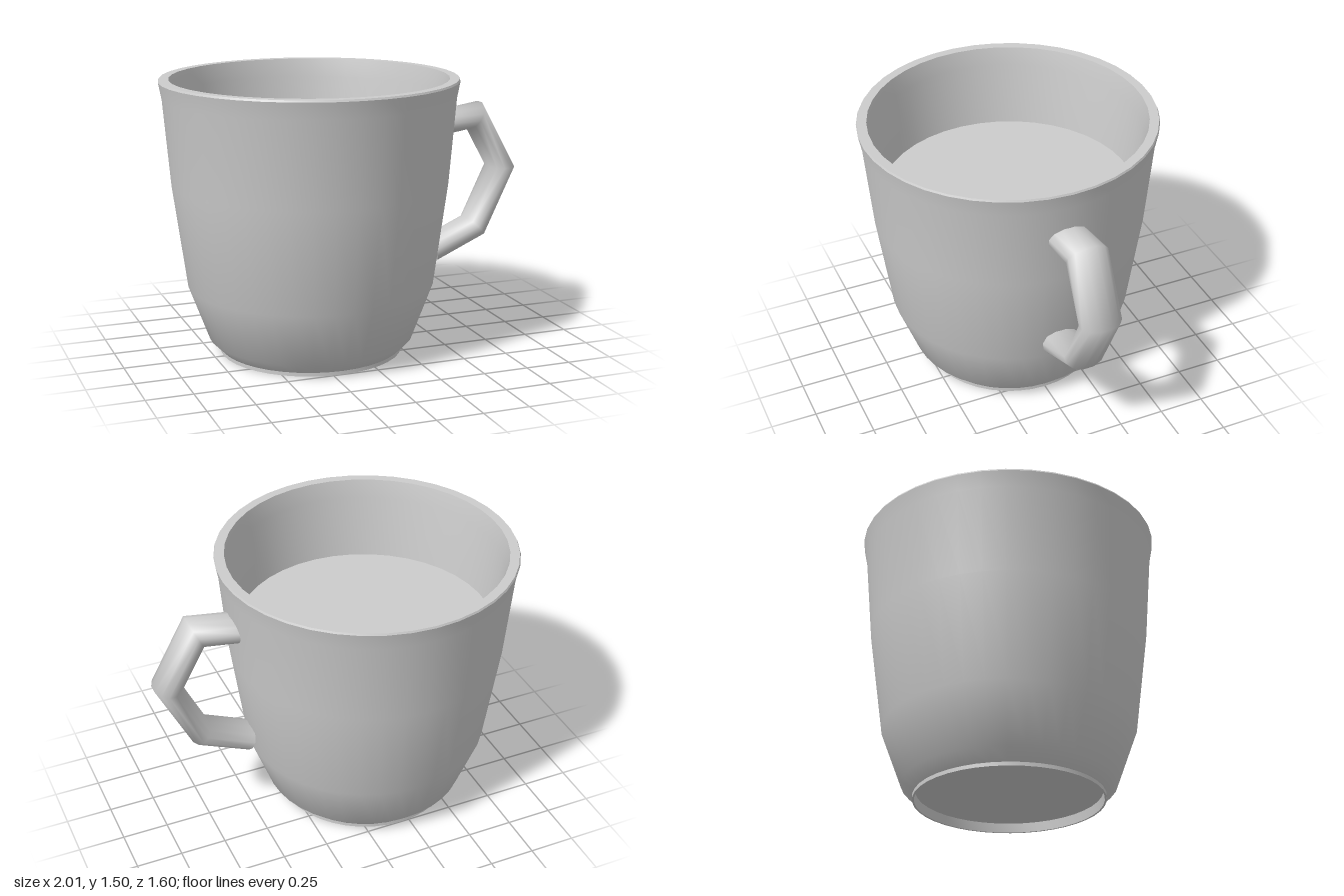
import * as THREE from 'three';
import { toCreasedNormals } from 'three/addons/utils/BufferGeometryUtils.js';

const CUP_X = -0.2;

// Sweeps an oval section along a flat path in the xy plane, with mitred bends and closed ends.
function sweepOval(path, halfThick, halfWide, sides) {
  const pts = path.map(([x, y]) => new THREE.Vector2(x, y));
  const last = pts.length - 1;
  const pos = [], index = [];
  const normalOf = (i) => {
    const t = pts[i + 1].clone().sub(pts[i]).normalize();
    return new THREE.Vector2(-t.y, t.x);
  };
  const addRing = (i) => {
    const n0 = normalOf(Math.max(i - 1, 0));
    const n = n0.clone().add(normalOf(Math.min(i, last - 1))).normalize();
    const reach = halfThick / n.dot(n0);
    const start = pos.length / 3;
    for (let j = 0; j < sides; j++) {
      const a = ((j + 0.5) / sides) * Math.PI * 2;
      const r = reach * Math.sin(a);
      pos.push(pts[i].x + n.x * r, pts[i].y + n.y * r, halfWide * Math.cos(a));
    }
    return start;
  };
  const rings = pts.map((_, i) => addRing(i));
  for (let i = 0; i < last; i++) {
    for (let j = 0; j < sides; j++) {
      const k = (j + 1) % sides;
      const a = rings[i] + j, b = rings[i + 1] + j;
      const c = rings[i + 1] + k, d = rings[i] + k;
      index.push(a, b, d, b, c, d);
    }
  }
  // end caps, with their own corners so the edges stay sharp
  const first = addRing(0), end = addRing(last);
  for (let j = 1; j < sides - 1; j++) {
    index.push(first, first + j, first + j + 1);
    index.push(end, end + j + 1, end + j);
  }
  const geo = new THREE.BufferGeometry();
  geo.setAttribute('position', new THREE.Float32BufferAttribute(pos, 3));
  geo.setIndex(index);
  geo.computeVertexNormals();
  return geo;
}

export function createModel() {
  const group = new THREE.Group();
  group.name = 'mug';
  const grey = new THREE.MeshStandardMaterial({ color: 0xcccccc });
  grey.name = 'plain grey';

  // Cup: recessed base, foot ring, outer wall, rim, inner wall and floor
  const profile = [
    [0, 0.05], [0.485, 0.05], [0.49, 0], [0.5, 0], [0.5, 0.02],
    [0.56, 0.08], [0.67, 0.38], [0.745, 0.94], [0.783, 1.4], [0.8, 1.49], [0.795, 1.5],
    [0.745, 1.5], [0.725, 1.4], [0.685, 0.94], [0.61, 0.39], [0.51, 0.12], [0, 0.12],
  ].map(([x, y]) => new THREE.Vector2(x, y));
  const cup = new THREE.Mesh(toCreasedNormals(new THREE.LatheGeometry(profile, 40), 0.6), grey);
  cup.name = 'cup';
  cup.position.x = CUP_X;
  group.add(cup);

  // Drink surface
  const drink = new THREE.Mesh(new THREE.CircleGeometry(0.694, 40), grey);
  drink.name = 'drinkSurface';
  drink.rotation.x = -Math.PI / 2;
  drink.position.set(CUP_X, 1.04, 0);
  group.add(drink);

  // Angular handle
  const path = [[0.505, 1.197], [0.77, 1.238], [0.936, 0.94], [0.775, 0.605], [0.507, 0.487]];
  const handle = new THREE.Mesh(sweepOval(path, 0.068, 0.113, 12), grey);
  handle.name = 'handle';
  group.add(handle);

  return group;
}
